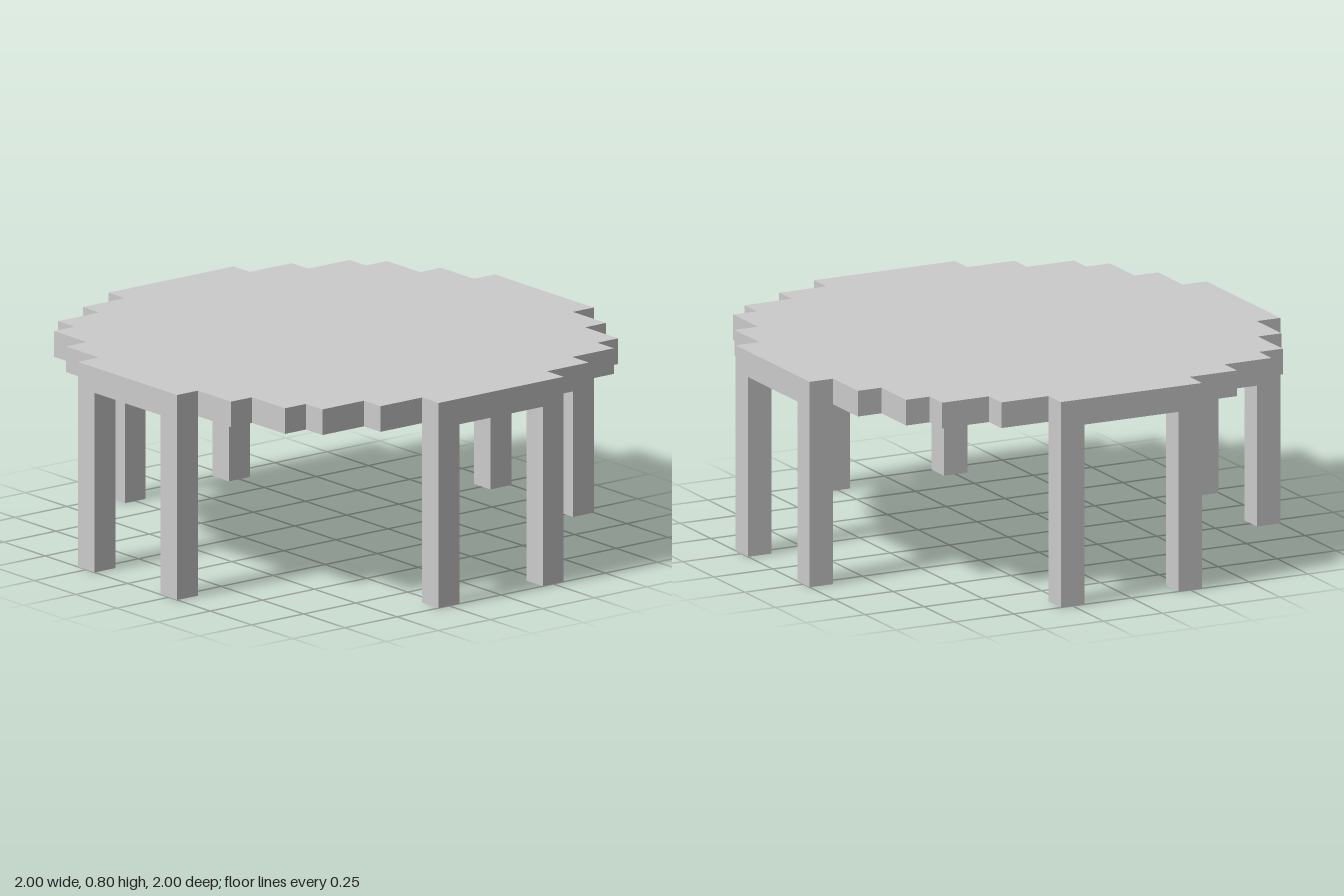
import * as THREE from 'three';

const TOP = 0.8;        // table height
const THICK = 0.1;      // tabletop thickness
const LEG = 0.1;        // leg width

export function createModel() {
  const table = new THREE.Group();
  table.name = 'table';
  const material = new THREE.MeshStandardMaterial({ color: 0xcccccc, flatShading: true });

  // Stepped round outline: one quarter, turned four times
  const quarter = [
    [1, 0.3], [0.9, 0.3], [0.9, 0.5], [0.8, 0.5], [0.8, 0.7], [0.7, 0.7],
    [0.7, 0.8], [0.5, 0.8], [0.5, 0.9], [0.3, 0.9], [0.3, 1],
  ];
  const outline = [];
  let turned = quarter;
  for (let i = 0; i < 4; i++) {
    outline.push(...turned.map(([x, y]) => new THREE.Vector2(x, y)));
    turned = turned.map(([x, y]) => [-y, x]);
  }

  // Tabletop
  const topGeometry = new THREE.ExtrudeGeometry(new THREE.Shape(outline), { depth: THICK, bevelEnabled: false });
  topGeometry.rotateX(-Math.PI / 2);
  const tabletop = new THREE.Mesh(topGeometry, material);
  tabletop.name = 'tabletop';
  tabletop.position.y = TOP - THICK;
  table.add(tabletop);

  // Legs: a pair under each of the four straight edges
  const legHeight = TOP - THICK;
  const legGeometry = new THREE.BoxGeometry(LEG, legHeight, LEG);
  ['front', 'left', 'back', 'right'].forEach((side, i) => {
    const pair = new THREE.Group();
    pair.name = `${side}Legs`;
    pair.rotation.y = i * Math.PI / 2;
    for (const x of [-0.25, 0.25]) {
      const leg = new THREE.Mesh(legGeometry, material);
      leg.name = 'leg';
      leg.position.set(x, legHeight / 2, 1 - LEG / 2);
      pair.add(leg);
    }
    table.add(pair);
  });

  return table;
}
